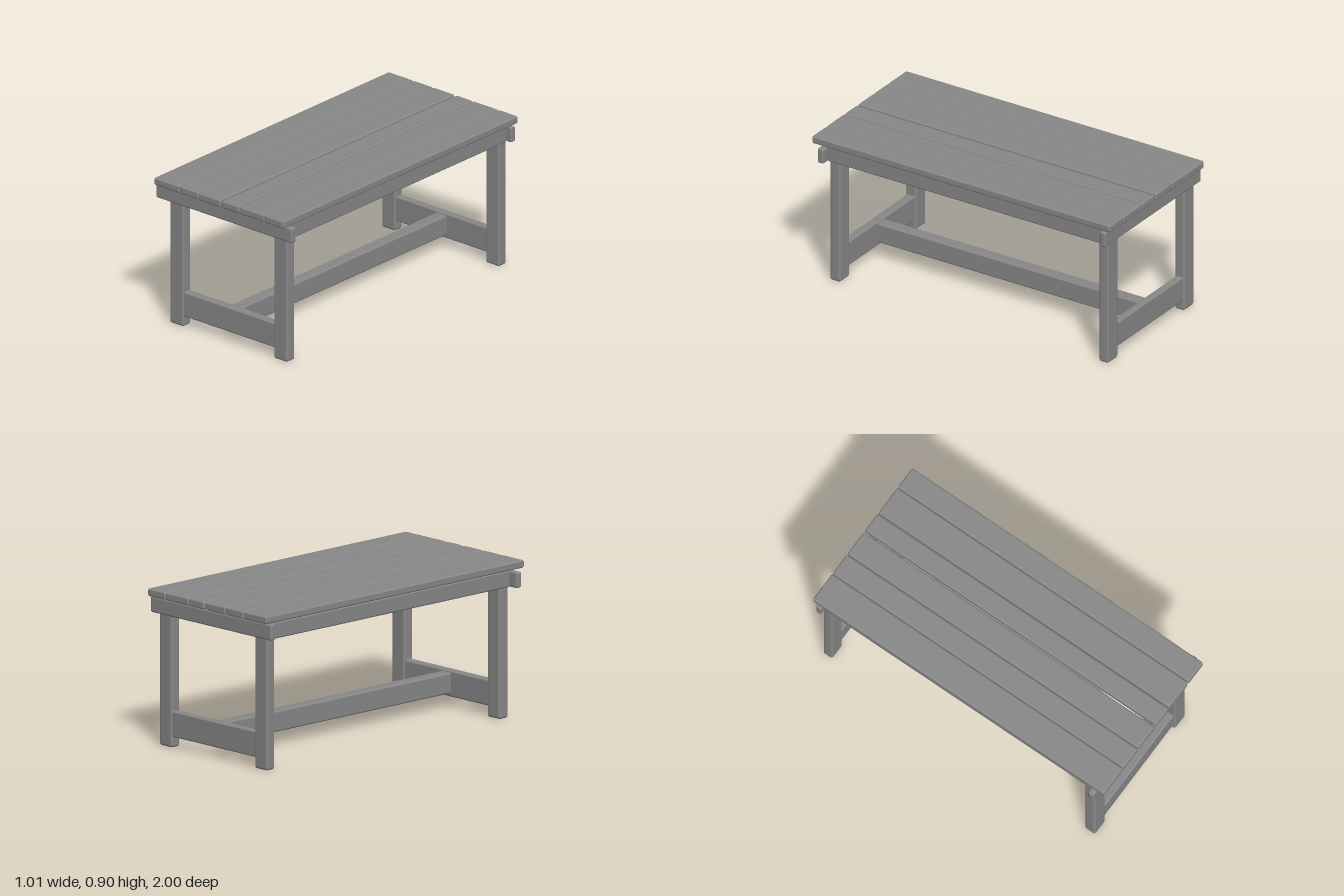
import * as THREE from 'three';
import { RoundedBoxGeometry } from 'three/addons/geometries/RoundedBoxGeometry.js';

export function createModel() {
  const table = new THREE.Group();
  table.name = 'slattedTable';
  const greyWood = new THREE.MeshStandardMaterial({ color: 0x888888 });
  greyWood.name = 'greyWood';

  // Softly rounded board given by its min/max extents on each axis
  function board(name, [x0, x1], [y0, y1], [z0, z1], radius = 0.01) {
    const geometry = new RoundedBoxGeometry(x1 - x0, y1 - y0, z1 - z0, 2, radius);
    const mesh = new THREE.Mesh(geometry, greyWood);
    mesh.name = name;
    mesh.position.set((x0 + x1) / 2, (y0 + y1) / 2, (z0 + z1) / 2);
    table.add(mesh);
  }

  // Top planks of uneven width
  const planks = [
    [-0.475, -0.289], [-0.285, -0.146], [-0.141, 0.016],
    [0.03, 0.151], [0.158, 0.341], [0.345, 0.486],
  ];
  planks.forEach((x, i) => board(`plank${i + 1}`, x, [0.855, 0.9], [-1, 1]));

  // Aprons: end boards overhang the side boards
  board('frontApron', [-0.505, 0.505], [0.755, 0.846], [0.91, 0.95]);
  board('backApron', [-0.485, 0.492], [0.758, 0.85], [-0.972, -0.935]);
  board('rightApron', [-0.45, -0.4], [0.753, 0.85], [-0.94, 0.915]);
  board('leftApron', [0.4, 0.457], [0.753, 0.85], [-0.94, 0.915]);

  // Two leg frames, each with a low cross rail
  const ends = [['front', 0.842, 0.912], ['back', -0.957, -0.893]];
  for (const [end, z0, z1] of ends) {
    board(`${end}RightLeg`, [-0.437, -0.335], [0, 0.848], [z0, z1], 0.014);
    board(`${end}LeftLeg`, [0.335, 0.437], [0, 0.848], [z0, z1], 0.014);
    board(`${end}CrossRail`, [-0.345, 0.345], [0.06, 0.21], [z0 + 0.009, z1 - 0.009]);
  }

  // Long stretcher joining the cross rails
  board('stretcher', [-0.035, 0.04], [0.08, 0.2], [-0.91, 0.86]);

  return table;
}
